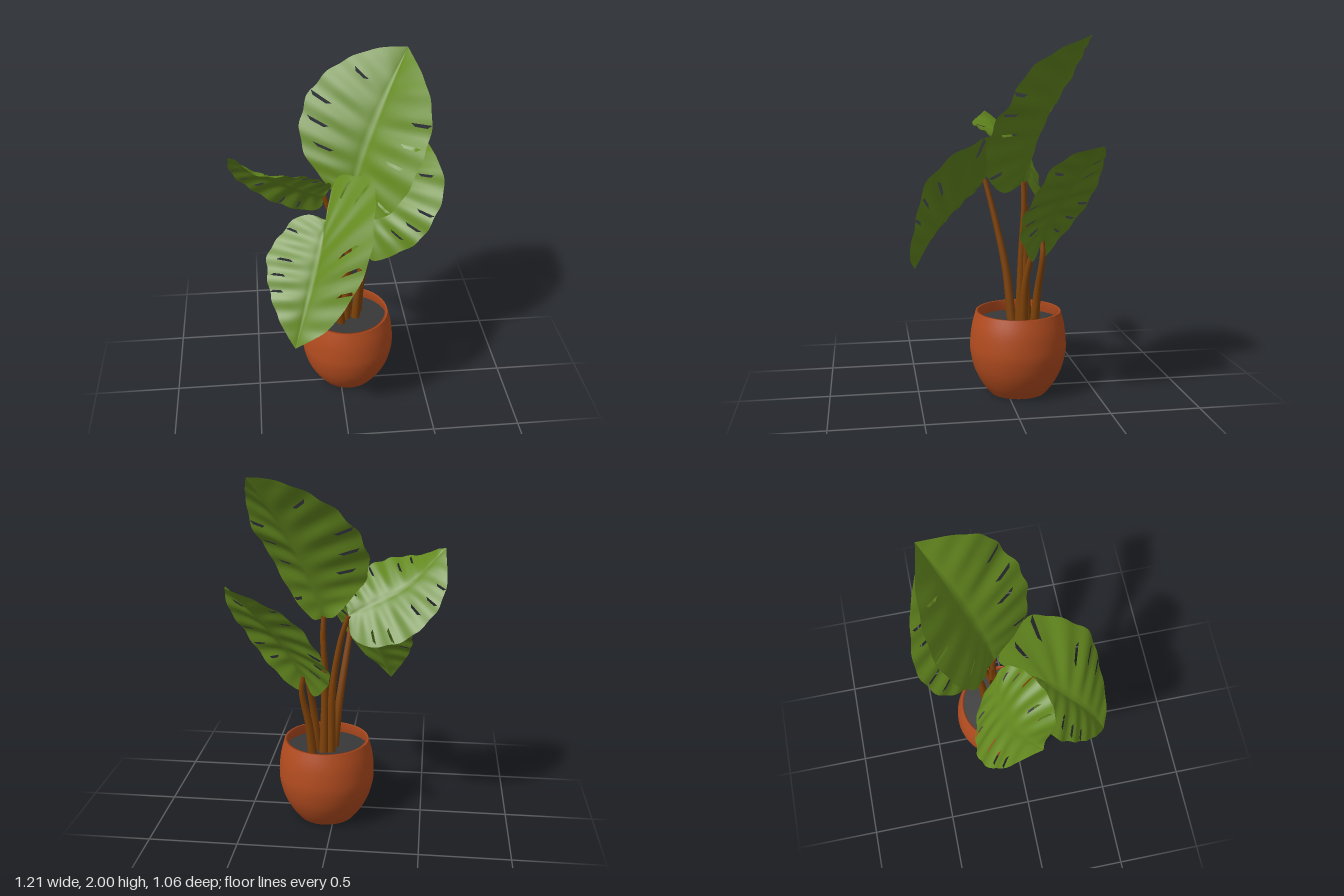
import * as THREE from 'three';

const V = (a) => new THREE.Vector3(...a);
const curveOf = (points) => new THREE.CatmullRomCurve3(points.map(V));

// Leaf blade: rows follow the side veins from the midrib to the left and right edge curves,
// slits are left open between rows
function leafGeometry({ midrib, left, right, seed }) {
  const joint = midrib[0], tip = midrib[midrib.length - 1];
  const rib = curveOf(midrib);
  const edges = [left, right].map((e) => curveOf([joint, ...e, tip]));
  const normal = new THREE.Vector3().crossVectors(
    edges[1].getPointAt(0.5).sub(edges[0].getPointAt(0.5)), V(tip).sub(V(joint))).normalize();
  if (normal.y < 0) normal.negate();
  const rows = 72, cols = 14, width = cols * 2 + 1;
  const pos = [], index = [];
  for (let i = 0; i <= rows; i++) {
    const t = i / rows, m = rib.getPointAt(Math.pow(t, 1.3));
    const fade = Math.sin(Math.PI * t);
    for (let j = -cols; j <= cols; j++) {
      const v = Math.abs(j) / cols, s = Math.sign(j);
      const e = edges[s > 0 ? 1 : 0].getPointAt(t);
      const scallop = 1 + 0.014 * Math.sin(t * 50 + seed + s) * v * fade;
      const ruffle = 0.006 * Math.sin(t * Math.PI * 16 + seed) * Math.sin(Math.min(1, v * 1.3) * 2);
      const p = m.clone().lerp(e, v * scallop)
        .addScaledVector(normal, (ruffle + 0.008 * Math.sin(Math.PI * v) - 0.008 * Math.exp(-v * 12)) * fade);
      pos.push(p.x, p.y, p.z);
    }
  }
  // slit range in columns for a given row and side, or null
  const slit = (i, s) => {
    if (i < 14 || i > 56 || i % 7 !== (s > 0 ? 2 : 4)) return null;
    const k = (i * 3 + seed * 5 + (s > 0 ? 1 : 0)) % 4;
    return [[6, 10], [8, 12], [9, 13], null][k];
  };
  for (let i = 0; i < rows; i++) {
    for (let j = 0; j < width - 1; j++) {
      const s = j >= cols ? 1 : -1;
      const c = s > 0 ? j - cols : cols - 1 - j;
      const r = slit(i, s);
      if (r && c > r[0] && c < r[1]) continue;
      const a = i * width + j, b = a + 1, d = a + width, e = d + 1;
      // slit ends keep one triangle so that they taper
      if (!r || (c !== r[0] && c !== r[1])) index.push(a, b, d, b, e, d);
      else if ((c === r[0]) === (s > 0)) index.push(a, b, d);
      else index.push(a, b, e);
    }
  }
  const g = new THREE.BufferGeometry();
  g.setAttribute('position', new THREE.Float32BufferAttribute(pos, 3));
  g.setIndex(index);
  g.computeVertexNormals();
  return g;
}

// Tapered stalk along a curve
function stalkGeometry(points, r0, r1) {
  const curve = curveOf(points);
  const seg = 20, sides = 10;
  const g = new THREE.TubeGeometry(curve, seg, 1, sides);
  const p = g.attributes.position;
  for (let i = 0; i <= seg; i++) {
    const c = curve.getPointAt(i / seg), r = r0 + (r1 - r0) * i / seg;
    for (let j = 0; j <= sides; j++) {
      const k = i * (sides + 1) + j;
      const q = new THREE.Vector3().fromBufferAttribute(p, k).sub(c).multiplyScalar(r).add(c);
      p.setXYZ(k, q.x, q.y, q.z);
    }
  }
  return g;
}

// Leaf shapes: midrib from joint to tip, and points along the left and right edges
const leaves = {
  tallLeaf: {
    midrib: [[0.06, 1.2, -0.09], [0.125, 1.43, -0.15], [0.25, 1.72, -0.25], [0.41, 2.0, -0.39]],
    left: [[0, 1.22, -0.14], [-0.1, 1.34, -0.18], [-0.19, 1.48, -0.25], [-0.19, 1.64, -0.335], [-0.125, 1.77, -0.4],
      [0.01, 1.89, -0.43], [0.2, 1.975, -0.425], [0.33, 2.0, -0.4]],
    right: [[0.14, 1.16, 0.02], [0.25, 1.24, 0.12], [0.34, 1.38, 0.15], [0.41, 1.53, 0.125], [0.475, 1.67, 0.04],
      [0.485, 1.8, -0.03], [0.46, 1.91, -0.18]],
    seed: 1,
  },
  backLeaf: {
    midrib: [[0.16, 0.88, -0.18], [0.25, 1.06, -0.235], [0.39, 1.27, -0.33], [0.53, 1.44, -0.43]],
    left: [[0.11, 0.78, -0.2], [0.03, 0.86, -0.3], [-0.01, 0.97, -0.41], [0.02, 1.08, -0.48], [0.09, 1.22, -0.525],
      [0.18, 1.31, -0.52], [0.345, 1.39, -0.49]],
    right: [[0.2, 0.785, -0.13], [0.35, 0.875, -0.06], [0.455, 0.98, -0.01], [0.53, 1.1, -0.02], [0.59, 1.22, -0.075],
      [0.6, 1.32, -0.13], [0.57, 1.4, -0.25]],
    seed: 2,
  },
  sideLeaf: {
    midrib: [[-0.08, 1.23, -0.13], [-0.2, 1.29, -0.11], [-0.4, 1.4, -0.08], [-0.595, 1.58, 0.03]],
    left: [[-0.1, 1.13, -0.18], [-0.19, 1.09, -0.235], [-0.305, 1.11, -0.265], [-0.4, 1.15, -0.28], [-0.5, 1.235, -0.27],
      [-0.565, 1.315, -0.225], [-0.605, 1.43, -0.145], [-0.6, 1.52, -0.05]],
    right: [[-0.045, 1.34, -0.06], [-0.085, 1.395, 0.01], [-0.18, 1.465, 0.07], [-0.3, 1.5, 0.12], [-0.43, 1.515, 0.13],
      [-0.495, 1.535, 0.1], [-0.55, 1.57, 0.05]],
    seed: 3,
  },
  frontLeaf: {
    midrib: [[-0.09, 1.22, 0.11], [-0.145, 1.07, 0.24], [-0.22, 0.87, 0.39], [-0.29, 0.655, 0.495]],
    left: [[-0.17, 1.235, 0.07], [-0.255, 1.21, 0.06], [-0.34, 1.13, 0.1], [-0.41, 1.06, 0.16], [-0.42, 0.96, 0.26],
      [-0.395, 0.85, 0.36], [-0.345, 0.745, 0.445]],
    right: [[-0.015, 1.37, -0.08], [0.085, 1.44, 0.03], [0.165, 1.46, 0.13], [0.158, 1.4, 0.255], [0.135, 1.3, 0.385],
      [0.105, 1.18, 0.465], [0.05, 1.04, 0.495], [-0.11, 0.8, 0.53], [-0.2, 0.73, 0.525]],
    seed: 4,
  },
};

const stalks = {
  tallStalk: [[0.04, 0.4, -0.08], [0.05, 0.8, -0.09], [0.065, 1.1, -0.1], [0.06, 1.21, -0.095]],
  tallStalkSheath: [[0.06, 0.4, -0.12], [0.055, 0.75, -0.11], [0.06, 1.08, -0.11]],
  backStalk: [[0.12, 0.4, -0.15], [0.14, 0.6, -0.165], [0.175, 0.8, -0.185], [0.165, 0.89, -0.185]],
  backStalkSheath: [[0.1, 0.4, -0.09], [0.12, 0.65, -0.1], [0.155, 0.9, -0.15]],
  sideStalk: [[0.02, 0.4, -0.11], [0.01, 0.8, -0.11], [-0.04, 1.1, -0.12], [-0.08, 1.23, -0.13]],
  frontStalk: [[0.01, 0.4, -0.04], [-0.02, 0.7, -0.01], [-0.06, 1.0, 0.05], [-0.09, 1.21, 0.1]],
};

export function createModel() {
  const model = new THREE.Group();
  const mat = (name, color, side = THREE.FrontSide) => {
    const m = new THREE.MeshStandardMaterial({ color, side });
    m.name = name;
    return m;
  };
  const terracotta = mat('terracotta', 0xb34c1f, THREE.DoubleSide);
  const soilGrey = mat('soil grey', 0x383838);
  const leafGreen = mat('leaf green', 0x64891f, THREE.DoubleSide);
  const stalkBrown = mat('stalk brown', 0x7f4207, THREE.DoubleSide);
  const add = (name, geometry, material) => {
    const m = new THREE.Mesh(geometry, material);
    m.name = name;
    model.add(m);
    return m;
  };

  // Pot: rounded wall with a thin rim, separate flat foot
  const wall = new THREE.SplineCurve([[0.165, 0], [0.21, 0.06], [0.25, 0.14], [0.272, 0.23], [0.274, 0.3],
    [0.264, 0.39], [0.242, 0.474]].map((p) => new THREE.Vector2(...p))).getPoints(24);
  add('pot', new THREE.LatheGeometry(wall, 48), terracotta).position.set(0.05, 0, -0.07);
  const inner = [[0.242, 0.474], [0.226, 0.474], [0.245, 0.4]].map((p) => new THREE.Vector2(...p));
  add('potRim', new THREE.LatheGeometry(inner, 48), terracotta).position.set(0.05, 0, -0.07);
  const foot = add('potFoot', new THREE.CircleGeometry(0.165, 48), terracotta);
  foot.rotation.x = Math.PI / 2;
  foot.position.set(0.05, 0, -0.07);
  const soil = add('soil', new THREE.CircleGeometry(0.246, 48), soilGrey);
  soil.rotation.x = -Math.PI / 2;
  soil.position.set(0.05, 0.41, -0.07);

  for (const [name, spec] of Object.entries(leaves)) add(name, leafGeometry(spec), leafGreen);
  for (const [name, pts] of Object.entries(stalks)) add(name, stalkGeometry(pts, 0.027, 0.014), stalkBrown);

  return model;
}
